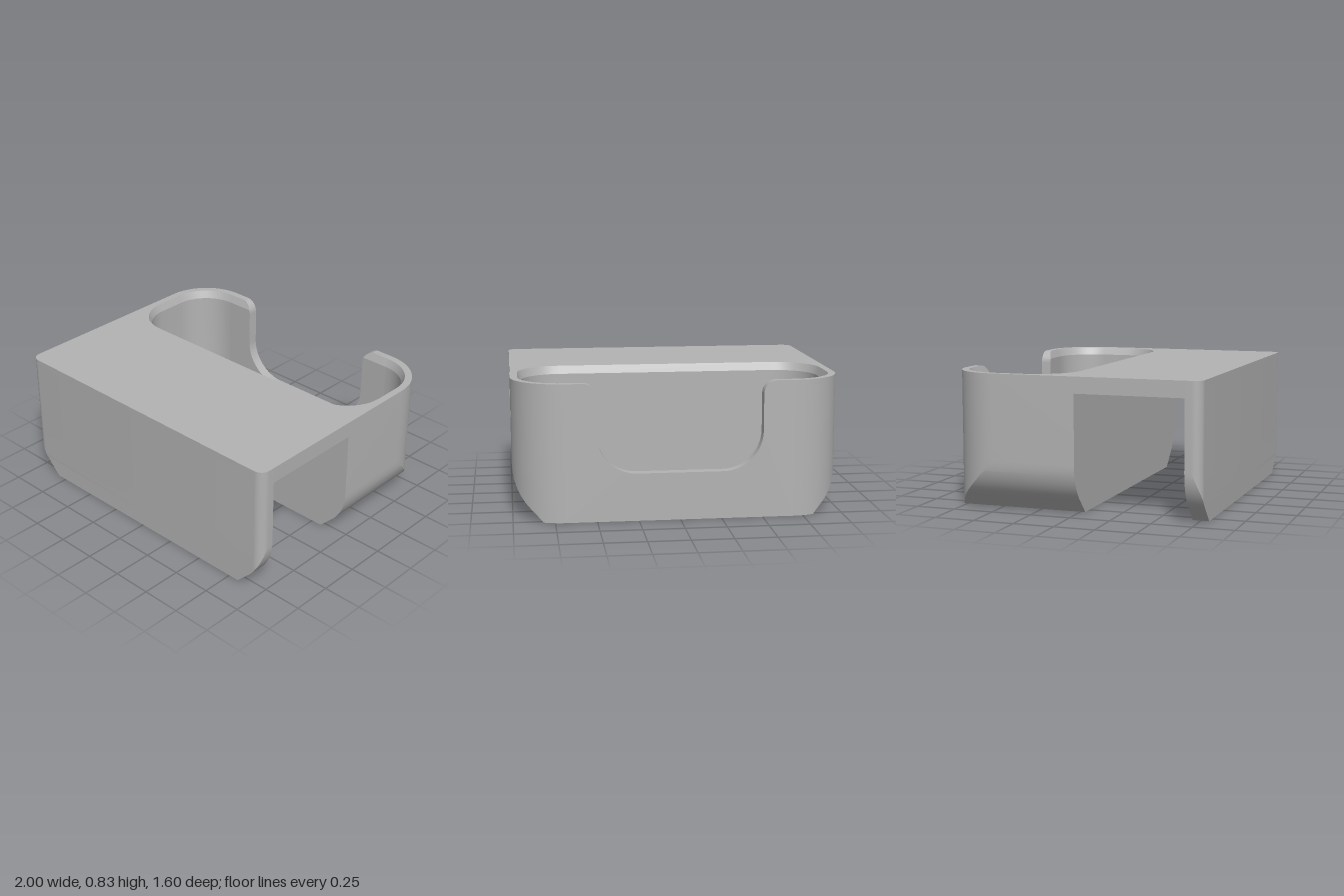
import * as THREE from 'three';
import { toCreasedNormals } from 'three/addons/utils/BufferGeometryUtils.js';

const H = 0.835, R = 0.31, RI = 0.245, CX = 0.69;   // height, outer and inner corner radii, corner centre
const FLOOR = R - RI, LIP_Y = 0.785, LIP = 0.02, K = R * Math.SQRT1_2;
const BACK = -0.8, INNER_BACK = -0.735, INNER_FRONT = -0.065, GAP_BACK = 0.03, GAP_FRONT = 0.7;

// half width of the outer hull at height y: 45 degree chamfer, arc, vertical side
function outerWidth(y) {
  if (y < R - K) return CX + K + y - (R - K);
  return y < R ? CX + Math.sqrt(R * R - (R - y) ** 2) : 1;
}
// half width of the pocket at height y
function pocketWidth(y) {
  if (y <= FLOOR) return CX;
  return y < R ? CX + Math.sqrt(RI * RI - (R - y) ** 2) : CX + RI + lipAt(y);
}
function lipAt(y) { return y > LIP_Y ? LIP * (y - LIP_Y) / (H - LIP_Y) : 0; }

// rounded corner in plan, cut off at x = w; dir is the z side it bulges to
function corner(cx, cz, r, w, dir, n = 12) {
  if (w <= cx) return Array.from({ length: n + 1 }, () => [w, cz + dir * r]);
  const a = Math.asin(Math.min(1, (w - cx) / r));
  return Array.from({ length: n + 1 }, (_, i) => {
    const t = a * i / n;
    return [cx + r * Math.sin(t), cz + dir * r * Math.cos(t)];
  });
}

// stack of plan sections with end caps; s = -1 mirrors it in x
function loft(section, ys, s) {
  const rings = ys.map(section), n = rings[0].length, pos = [], idx = [];
  const tri = (a, b, c) => (s > 0 ? idx.push(a, b, c) : idx.push(a, c, b));
  rings.forEach((ring, j) => ring.forEach(([x, z]) => pos.push(s * x, ys[j], z)));
  for (let j = 0; j < ys.length - 1; j++) {
    for (let i = 0; i < n; i++) {
      const a = j * n + i, b = j * n + (i + 1) % n;
      tri(a, a + n, b);
      tri(b, a + n, b + n);
    }
  }
  for (const j of [0, ys.length - 1]) {
    const p = rings[j].map(([x, z]) => new THREE.Vector2(x, z));
    for (const [a, b, c] of THREE.ShapeUtils.triangulateShape(p, [])) {
      const ccw = p[b].clone().sub(p[a]).cross(p[c].clone().sub(p[a])) > 0;
      const o = j * n;
      if (ccw === (j === 0)) tri(o + a, o + b, o + c);
      else tri(o + a, o + c, o + b);
    }
  }
  const g = new THREE.BufferGeometry();
  g.setAttribute('position', new THREE.Float32BufferAttribute(pos, 3));
  g.setIndex(idx);
  return toCreasedNormals(g, 0.3);
}

function extrude(shape, depth) {
  const g = new THREE.ExtrudeGeometry(shape, { depth, bevelEnabled: false, curveSegments: 16 });
  return toCreasedNormals(g, 0.3);
}

export function createModel() {
  const group = new THREE.Group();
  const grey = new THREE.MeshStandardMaterial({ color: 0xb3b3b3 });
  grey.name = 'plain grey';
  const add = (name, geometry) => {
    const mesh = new THREE.Mesh(geometry, grey);
    mesh.name = name;
    group.add(mesh);
    return mesh;
  };

  // heights of the sections, dense where the lower edge curves
  const ys = [0, R - K];
  for (let i = 0; i <= 12; i++) ys.push(R - RI * Math.cos(i / 12 * Math.PI / 2));
  ys.push(LIP_Y, H);
  ys.sort((a, b) => a - b);

  // rounded tray ends: outer hull outside, pocket wall inside
  const traySection = (y) => {
    const w = outerWidth(y), wi = pocketWidth(y), r = RI + lipAt(y);
    return [
      ...corner(CX, BACK + R, R, w, -1), [w, GAP_BACK], [CX, GAP_BACK],
      ...corner(CX, INNER_FRONT - RI, r, wi, 1),
      ...corner(CX, INNER_BACK + RI, r, wi, -1).reverse(),
    ];
  };
  // half of the front plate
  const plateSection = (y) => {
    const w = outerWidth(y);
    return [[0, GAP_FRONT], [w, GAP_FRONT], ...corner(0.94, 0.74, 0.06, w, 1).reverse(), [0, 0.8]];
  };
  for (const [side, s] of [['left', 1], ['right', -1]]) {
    add(side + 'TrayEnd', loft(traySection, ys, s));
    add(side + 'FrontPlate', loft(plateSection, ys, s));
  }

  // back wall with a wide rounded notch
  const nx = 0.5, ny = 0.29, nr = 0.24, fr = 0.08, fc = H - fr;
  const cut = Math.asin((LIP_Y - fc) / fr);
  const wall = new THREE.Shape();
  wall.moveTo(-CX, 0);
  wall.lineTo(CX, 0);
  wall.lineTo(CX, LIP_Y);
  wall.absarc(nx + fr, fc, fr, Math.PI - cut, Math.PI, false);
  wall.absarc(nx - nr, ny + nr, nr, 0, -Math.PI / 2, true);
  wall.absarc(-nx + nr, ny + nr, nr, -Math.PI / 2, -Math.PI, true);
  wall.absarc(-nx - fr, fc, fr, 0, cut, false);
  wall.lineTo(-CX, LIP_Y);
  const thick = INNER_BACK - BACK;
  add('backWall', extrude(wall, thick).translate(0, 0, BACK));

  // wall tops beside the notch, with the sloped inner lip
  for (const s of [1, -1]) {
    const top = new THREE.Shape();
    top.moveTo(s * CX, LIP_Y);
    top.lineTo(s * CX, H);
    const a0 = Math.PI / 2, a1 = Math.PI - cut;
    for (let i = 0; i <= 10; i++) {
      const a = a0 + (a1 - a0) * i / 10;
      top.lineTo(s * (nx + fr + fr * Math.cos(a)), fc + fr * Math.sin(a));
    }
    const g = new THREE.ExtrudeGeometry(top, { depth: thick, bevelEnabled: false });
    const p = g.attributes.position;
    for (let i = 0; i < p.count; i++) {
      if (p.getZ(i) > thick / 2) p.setZ(i, thick - lipAt(p.getY(i)));
    }
    add(s > 0 ? 'leftWallTop' : 'rightWallTop', toCreasedNormals(g, 0.3).translate(0, 0, BACK));
  }

  // tray front wall, profile in z and y
  const front = new THREE.Shape([
    [GAP_BACK, 0], [GAP_BACK, H], [INNER_FRONT + LIP, H], [INNER_FRONT, LIP_Y], [INNER_FRONT, 0],
  ].map(([z, y]) => new THREE.Vector2(z, y)));
  add('trayFrontWall', extrude(front, CX * 2).rotateY(-Math.PI / 2).translate(CX, 0, 0));

  // tray floor with a long slot
  const floor = new THREE.Shape();
  floor.moveTo(-CX, -INNER_FRONT);
  floor.lineTo(CX, -INNER_FRONT);
  floor.lineTo(CX, -INNER_BACK);
  floor.lineTo(-CX, -INNER_BACK);
  floor.closePath();
  const slot = new THREE.Path();
  slot.absarc(0.53, 0.4, 0.12, -Math.PI / 2, Math.PI / 2, false);
  slot.absarc(-0.53, 0.4, 0.12, Math.PI / 2, Math.PI * 1.5, false);
  slot.closePath();
  floor.holes.push(slot);
  add('trayFloor', extrude(floor, FLOOR).rotateX(-Math.PI / 2));

  // flat bridge joining the tray to the front plate
  const deck = new THREE.BoxGeometry(2, 0.1, GAP_FRONT - GAP_BACK);
  add('bridge', deck).position.set(0, H - 0.05, (GAP_FRONT + GAP_BACK) / 2);

  return group;
}
